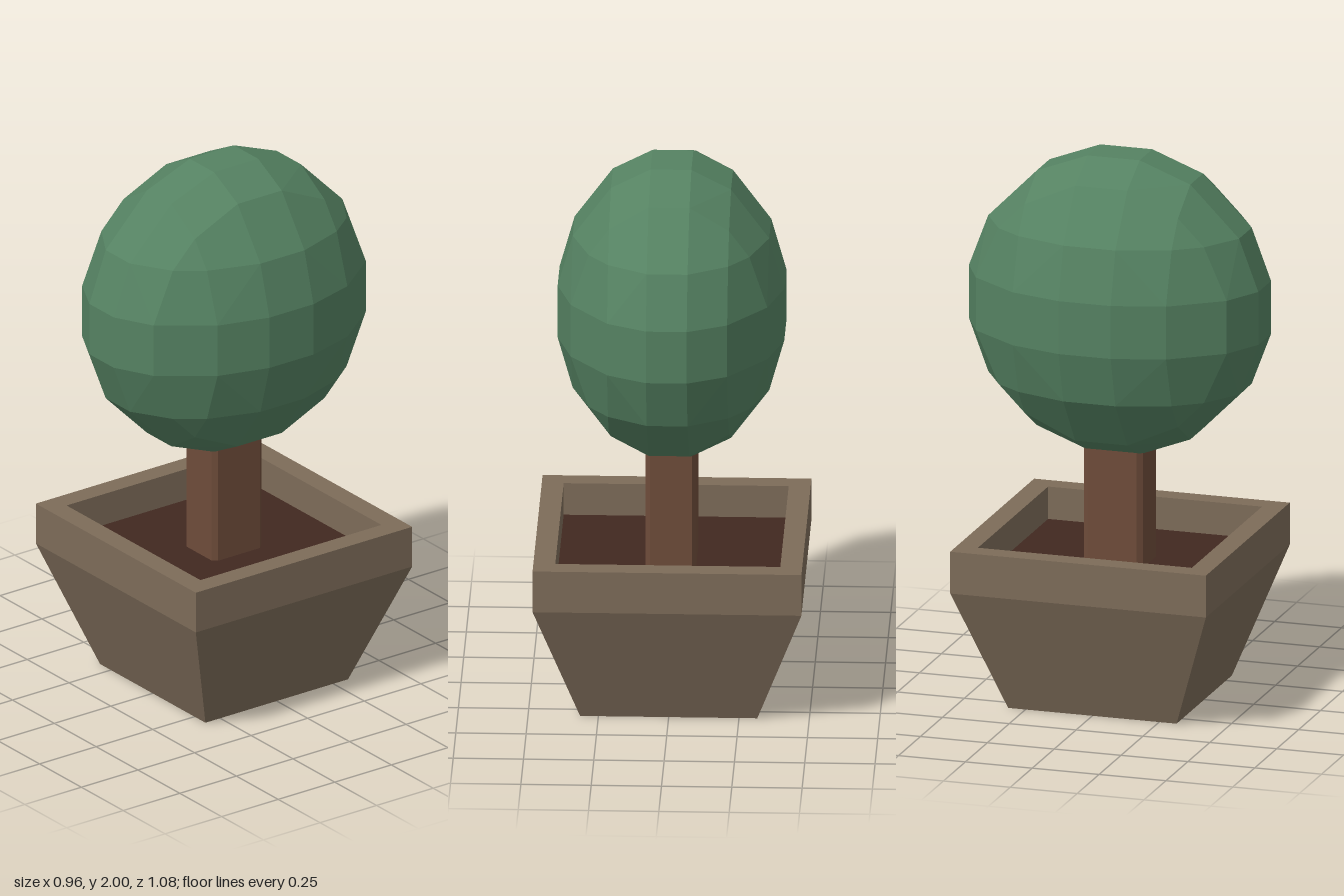
import * as THREE from 'three';
import { ConvexGeometry } from 'three/addons/geometries/ConvexGeometry.js';

function flatMesh(name, geometry, color) {
  const geo = geometry.index ? geometry.toNonIndexed() : geometry;
  geo.computeVertexNormals();
  const material = new THREE.MeshStandardMaterial({ color, flatShading: true });
  const mesh = new THREE.Mesh(geo, material);
  mesh.name = name;
  return mesh;
}

// Square turned profile: points are [half width, height]
function squareLathe(profile) {
  const points = profile.map(([w, y]) => new THREE.Vector2(w * Math.SQRT2, y));
  return new THREE.LatheGeometry(points, 4, Math.PI / 4);
}

// Faceted ball: a 3 x 3 grid on each cube side, with bevelled edges and corners
function facetedBall(rx, ry, rz) {
  const levels = [-0.53, -0.18, 0.18, 0.53];
  const radius = 1.032;
  const points = [];
  for (let axis = 0; axis < 3; axis++) {
    for (const side of [-1, 1]) {
      for (const a of levels) {
        for (const b of levels) {
          const p = [0, 0, 0];
          p[axis] = side * Math.sqrt(radius * radius - a * a - b * b);
          p[(axis + 1) % 3] = a;
          p[(axis + 2) % 3] = b;
          points.push(new THREE.Vector3(p[0] * rx, p[1] * ry, p[2] * rz));
        }
      }
    }
  }
  return new ConvexGeometry(points);
}

export function createModel() {
  const group = new THREE.Group();
  group.name = 'pottedTree';

  // Tapered square planter with an upright rim and a hollow top
  group.add(flatMesh('planter', squareLathe([
    [0, 0], [0.315, 0], [0.478, 0.455], [0.478, 0.61], [0.4, 0.61], [0.4, 0.48],
  ]), 0x7d6c59));

  // Soil
  const soil = flatMesh('soil', new THREE.PlaneGeometry(0.8, 0.8), 0x412820);
  soil.rotation.x = -Math.PI / 2;
  soil.position.y = 0.49;
  group.add(soil);

  // Trunk with narrow chamfered corners
  const section = new THREE.Shape([
    [0.075, -0.11], [0.09, -0.092], [0.09, 0.092], [0.075, 0.11],
    [-0.075, 0.11], [-0.09, 0.092], [-0.09, -0.092], [-0.075, -0.11],
  ].map(([x, y]) => new THREE.Vector2(x, y)));
  const trunk = flatMesh('trunk',
    new THREE.ExtrudeGeometry(section, { depth: 0.52, bevelEnabled: false }), 0x6e4c3a);
  trunk.rotation.x = -Math.PI / 2;
  trunk.position.y = 0.48;
  group.add(trunk);

  // Foliage
  const foliage = flatMesh('foliage', facetedBall(0.403, 0.545, 0.541), 0x558262);
  foliage.position.y = 1.455;
  group.add(foliage);

  return group;
}
